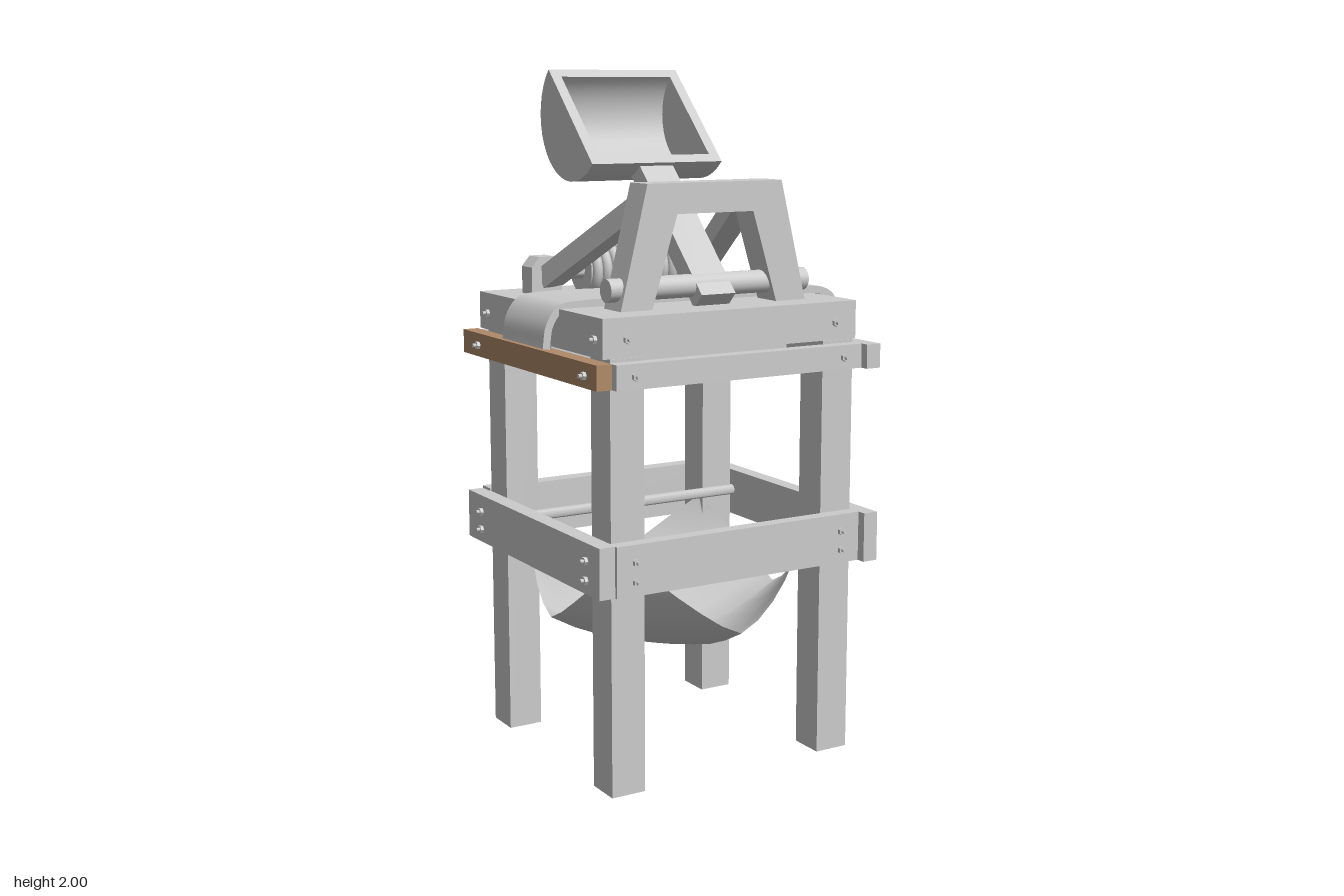
import * as THREE from 'three';
import { toCreasedNormals } from 'three/addons/utils/BufferGeometryUtils.js';

const grey = new THREE.MeshStandardMaterial({ color: 0xcccccc });
const cloth = new THREE.MeshStandardMaterial({ color: 0xcccccc, side: THREE.DoubleSide });
const wood = new THREE.MeshStandardMaterial({ color: 0xb08a68 });
const CX = -0.018; // the launcher sits slightly off centre

export function createModel() {
  const model = new THREE.Group();

  function add(name, geometry, parent = model, material = grey) {
    const mesh = new THREE.Mesh(geometry, material);
    mesh.name = name;
    parent.add(mesh);
    return mesh;
  }
  // Box given by its limits on each axis
  function bar(name, [x0, x1], [y0, y1], [z0, z1], parent = model, material = grey) {
    const m = add(name, new THREE.BoxGeometry(x1 - x0, y1 - y0, z1 - z0), parent, material);
    m.position.set((x0 + x1) / 2, (y0 + y1) / 2, (z0 + z1) / 2);
    return m;
  }
  function rod(name, r, x0, x1, y, z, sides = 20) {
    const m = add(name, toCreasedNormals(new THREE.CylinderGeometry(r, r, x1 - x0, sides), 0.7));
    m.rotation.z = Math.PI / 2;
    m.position.set((x0 + x1) / 2, y, z);
    return m;
  }
  function extrude(points, depth) {
    const shape = new THREE.Shape(points.map(p => new THREE.Vector2(...p)));
    return new THREE.ExtrudeGeometry(shape, { depth, bevelEnabled: false });
  }
  // Hex bolt head with a shank, pointing along x or z
  function bolt(x, y, z, axis) {
    const g = new THREE.Group();
    g.name = 'bolt';
    const head = new THREE.CylinderGeometry(0.012, 0.012, 0.01, 6).toNonIndexed();
    head.computeVertexNormals();
    add('boltHead', head, g);
    add('boltShank', new THREE.CylinderGeometry(0.006, 0.006, 0.03, 8), g);
    if (axis === 'x') g.rotation.z = Math.PI / 2; else g.rotation.x = Math.PI / 2;
    g.position.set(x, y, z);
    model.add(g);
  }

  // Four legs
  for (const x of [[-0.415, -0.31], [0.28, 0.385]])
    for (const z of [[-0.378, -0.27], [0.27, 0.378]]) bar('leg', x, [0, 1.235], z);

  // Lower rails, overlapping at the corners in turn
  bar('lowerFrontRail', [-0.42, 0.387], [0.585, 0.73], [0.378, 0.42]);
  bar('lowerBackRail', [-0.42, 0.43], [0.575, 0.738], [-0.43, -0.38]);
  bar('lowerRightRail', [0.387, 0.434], [0.585, 0.73], [-0.38, 0.448]);
  bar('lowerLeftRail', [-0.468, -0.417], [0.585, 0.73], [-0.43, 0.41]);

  // Upper rails
  const upper = [1.155, 1.225];
  bar('upperFrontRail', [-0.418, 0.387], upper, [0.375, 0.42]);
  bar('upperBackRail', [-0.418, 0.387], upper, [-0.43, -0.378]);
  bar('upperSideRail', [0.387, 0.434], upper, [-0.415, 0.446]);
  bar('colouredSideRail', [-0.465, -0.418], upper, [-0.45, 0.395], model, wood);
  bar('underDeckBar', [-0.418, 0.387], [1.165, 1.235], [-0.04, 0.04]);

  // Deck
  bar('deck', [-0.435, 0.397], [1.235, 1.345], [-0.393, 0.375]);

  // Bolts
  for (const x of [-0.36, 0.325]) {
    for (const y of [0.625, 0.68, 1.19]) {
      bolt(x, y, 0.425, 'z');
      bolt(x, y, -0.435, 'z');
    }
    bolt(x, 1.285, 0.38, 'z');
    bolt(x, 1.285, -0.398, 'z');
  }
  for (const z of [-0.335, 0.335]) {
    for (const y of [0.625, 0.68, 1.19]) bolt(-0.473, y, z, 'x');
    bolt(0.439, 1.19, z, 'x');
    bolt(0.402, 1.285, z, 'x');
    bolt(-0.44, 1.285, z, 'x');
  }

  // Hanging cloth: high corners, sagging and bulging edges, low middle
  const sling = new THREE.PlaneGeometry(2, 2, 10, 10);
  const p = sling.attributes.position;
  for (let i = 0; i < p.count; i++) {
    const u = p.getX(i), v = p.getY(i);
    const y = 0.305 + 0.12 * (u * u + v * v - u * u * v * v) + 0.23 * Math.pow(Math.abs(u * v), 1.3);
    p.setXYZ(i, CX + u * (0.3 + 0.09 * (1 - v * v)), y, v * (0.29 + 0.13 * (1 - u * u)));
  }
  sling.computeVertexNormals();
  add('hangingCloth', sling, model, cloth);
  for (const z of [-0.262, 0.262]) rod('clothRod', 0.016, -0.42, 0.39, 0.665, z);

  // Strap laid over the deck, drooping at both ends
  const path = new THREE.CatmullRomCurve3([
    [-0.475, 1.235], [-0.464, 1.3], [-0.43, 1.345], [-0.37, 1.354], [0, 1.352],
    [0.36, 1.354], [0.425, 1.352], [0.464, 1.33], [0.478, 1.275],
  ].map(([x, y]) => new THREE.Vector3(x, y, 0)));
  const top = [], bottom = [];
  for (let i = 0; i <= 48; i++) {
    const c = path.getPoint(i / 48), t = path.getTangent(i / 48);
    top.push([c.x - t.y * 0.011, c.y + t.x * 0.011]);
    bottom.unshift([c.x + t.y * 0.011, c.y - t.x * 0.011]);
  }
  const strap = extrude([...bottom.reverse(), ...top.reverse()], 0.255);
  const sp = strap.attributes.position;
  for (let i = 0; i < sp.count; i++) sp.setZ(i, sp.getZ(i) - 0.112 + 0.04 * sp.getX(i));
  add('strap', toCreasedNormals(strap, 0.8));

  // Upright frame: one trapezoid with a tapered opening
  const upright = extrude([
    [-0.305, 1.345], [-0.205, 1.345], [-0.125, 1.605], [0.125, 1.605],
    [0.205, 1.345], [0.305, 1.345], [0.22, 1.69], [-0.22, 1.69],
  ], 0.095);
  add('uprightFrame', upright).position.set(CX, 0, 0.18);
  rod('pivotRoller', 0.033, -0.345, 0.31, 1.4, 0.23);

  // Sloping braces and the rear blocks they meet
  for (const s of [-1, 1]) {
    const a = new THREE.Vector3(CX + s * 0.155, 1.645, 0.19);
    const b = new THREE.Vector3(CX + s * 0.26, 1.39, -0.24);
    const brace = add('brace', new THREE.BoxGeometry(0.07, 0.06, a.distanceTo(b)));
    brace.position.copy(a).lerp(b, 0.5);
    brace.lookAt(a);
    const block = extrude([
      [-0.05, 1.345], [0.05, 1.345], [0.05, 1.425], [0.025, 1.455], [-0.025, 1.455], [-0.05, 1.425],
    ], 0.065);
    add('rearBlock', block).position.set(CX + s * 0.275, 0, -0.29);
  }

  // Rope spool between the rear blocks
  const spoolY = 1.415, spoolZ = -0.19;
  rod('spoolCore', 0.068, CX - 0.18, CX + 0.18, spoolY, spoolZ, 24);
  rod('spoolAxle', 0.025, CX - 0.27, CX + 0.27, spoolY, spoolZ);
  for (let i = 0; i < 11; i++) {
    const coil = add('ropeCoil', new THREE.TorusGeometry(0.069, 0.016, 8, 28));
    coil.rotation.y = Math.PI / 2;
    coil.position.set(CX - 0.16 + i * 0.032, spoolY, spoolZ);
  }

  // Throwing arm with a half-round bucket, tilted back
  const thrower = new THREE.Group();
  thrower.name = 'throwingArm';
  thrower.position.set(CX, 1.866, -0.175);
  thrower.rotation.x = Math.PI / 4;
  model.add(thrower);
  bar('arm', [-0.056, 0.056], [-0.072, -0.014], [0.16, 0.675], thrower);

  const arc = (r, n = 20) => Array.from({ length: n + 1 }, (_, i) => {
    const a = Math.PI * (1 + i / n);
    return [r * Math.cos(a), r * Math.sin(a)];
  });
  function bucketPart(name, points, x0, x1) {
    const g = extrude(points, x1 - x0);
    g.rotateY(Math.PI / 2);
    add(name, toCreasedNormals(g, 0.6), thrower).position.x = x0;
  }
  bucketPart('bucketShell', [...arc(0.19), ...arc(0.16).reverse()], -0.19, 0.19);
  bucketPart('bucketEnd', arc(0.19), -0.219, -0.187);
  bucketPart('bucketEnd', arc(0.19), 0.187, 0.219);

  return model;
}
